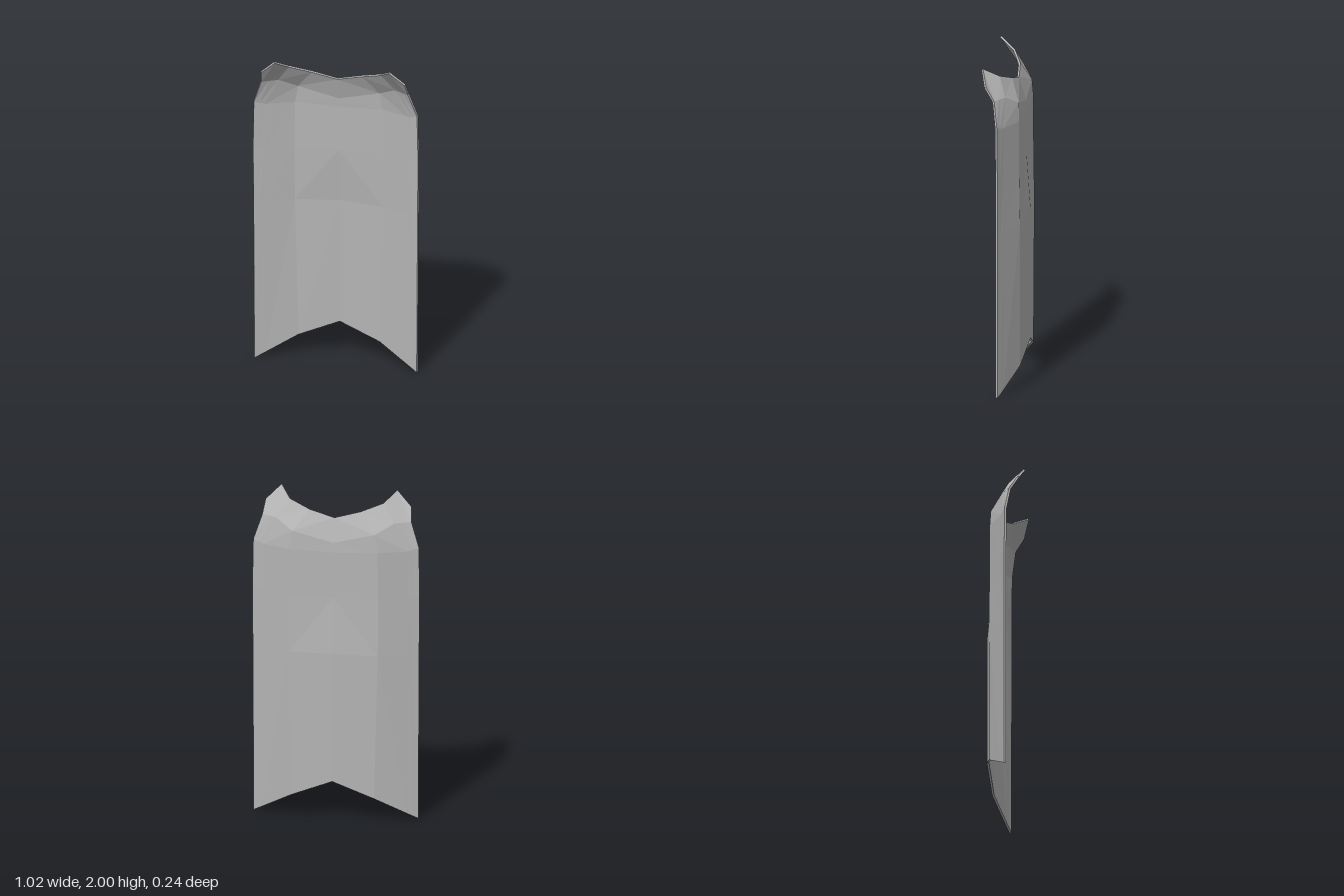
import * as THREE from 'three';

// Half cross-sections of the back surface, bottom to top: centre, inner rib, outer rib, shoulder, side edge
const ROWS = [
  [[0, .235, -.12], [.25, .135, -.097], [.44, .032, -.025], [.47, .016, -.013], [.5, 0, 0]],
  [[0, 1.03, -.12], [.272, 1.02, -.099], [.44, 1.02, -.027], [.47, 1.02, -.014], [.505, 1.02, 0]],
  [[0, 1.37, -.096], [.275, 1.37, -.094], [.44, 1.37, -.025], [.475, 1.375, -.012], [.508, 1.38, 0]],
  [[0, 1.65, -.096], [.27, 1.66, -.094], [.44, 1.66, -.022], [.47, 1.67, -.009], [.503, 1.68, .004]],
  [[0, 1.71, -.092], [.25, 1.77, -.088], [.36, 1.83, -.022], [.41, 1.83, .004], [.453, 1.83, .028]],
  [[0, 1.855, -.05], [.155, 1.895, -.033], [.285, 1.94, .02], [.352, 2, .112], [.442, 1.912, .078]],
];
const THICKNESS = .013;

// Mirrors a half row into a full one running from -x to +x
const fullRow = (half) => [...half.slice(1).reverse().map(([x, y, z]) => [-x, y, z]), ...half];

function plateGeometry() {
  const rows = ROWS.map(fullRow);
  const nr = rows.length, nc = rows[0].length, count = nr * nc;
  const id = (r, c) => r * nc + c;
  const back = rows.flat(2);
  const index = [];
  for (let r = 0; r < nr - 1; r++) {
    for (let c = 0; c < nc - 1; c++) {
      const a = id(r, c), b = id(r, c + 1), d = id(r + 1, c), e = id(r + 1, c + 1);
      // Mirror the diagonals about the centre line
      if (c < (nc - 1) / 2) index.push(a, e, b, a, d, e);
      else index.push(a, d, b, b, d, e);
    }
  }

  // Offset the back surface inward along its normals to make the front surface
  const shell = new THREE.BufferGeometry();
  shell.setAttribute('position', new THREE.Float32BufferAttribute(back, 3));
  shell.setIndex(index);
  shell.computeVertexNormals();
  const normals = shell.attributes.normal.array;
  const front = back.map((v, i) => {
    const offset = v - normals[i] * THICKNESS;
    return i % 3 === 1 ? Math.max(0, offset) : offset;
  });

  const faces = [...index];
  for (let i = 0; i < index.length; i += 3) {
    faces.push(index[i] + count, index[i + 2] + count, index[i + 1] + count);
  }

  // Close the rim, going anticlockwise as seen from the front
  const rim = [];
  for (let c = 0; c < nc - 1; c++) rim.push(id(0, c));
  for (let r = 0; r < nr - 1; r++) rim.push(id(r, nc - 1));
  for (let c = nc - 1; c > 0; c--) rim.push(id(nr - 1, c));
  for (let r = nr - 1; r > 0; r--) rim.push(id(r, 0));
  rim.forEach((a, i) => {
    const b = rim[(i + 1) % rim.length];
    faces.push(a, b, b + count, a, b + count, a + count);
  });

  const geometry = new THREE.BufferGeometry();
  geometry.setAttribute('position', new THREE.Float32BufferAttribute([...back, ...front], 3));
  geometry.setIndex(faces);
  const flat = geometry.toNonIndexed();
  flat.computeVertexNormals();
  return flat;
}

export function createModel() {
  const group = new THREE.Group();
  group.name = 'curvedPlate';
  const grey = new THREE.MeshStandardMaterial({ color: 0xb4b4b4, flatShading: true });
  grey.name = 'plainGrey';
  const plate = new THREE.Mesh(plateGeometry(), grey);
  plate.name = 'plate';
  group.add(plate);
  return group;
}
